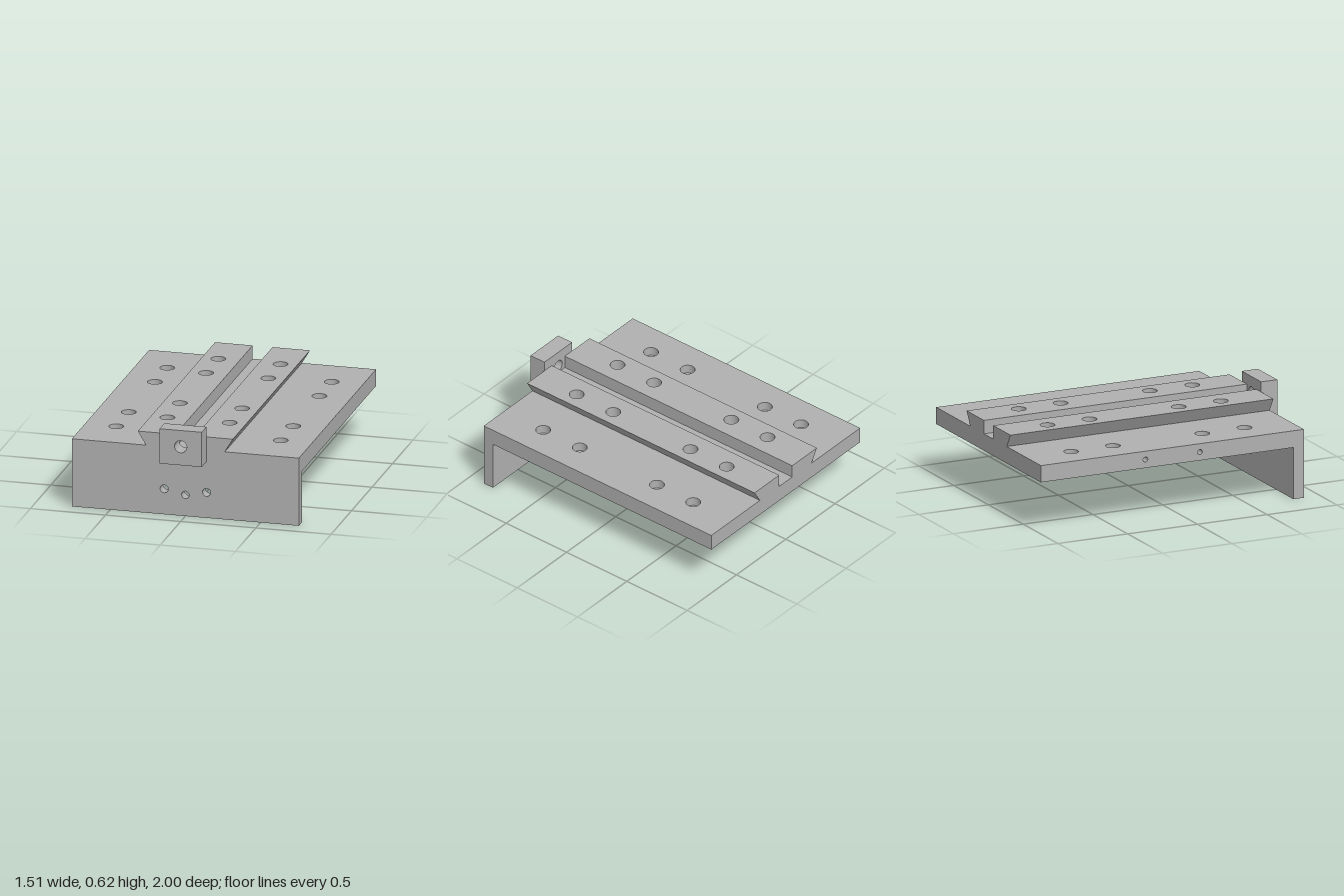
import * as THREE from 'three';
import { toCreasedNormals } from 'three/addons/utils/BufferGeometryUtils.js';

const HALF_W = 0.755, BACK = -1, FRONT = 0.885;
const PLATE_Y = 0.345, SEAT_Y = 0.397, TOP_Y = 0.457, RAIL_Y = 0.547;
const BORE = 0.028, COUNTERBORE = 0.048;
const OUTER_X = 0.547, INNER_X = 0.207, HOLE_Z = [-0.68, -0.38, 0.26, 0.563];
const STRIP = 0.135; // width of the edge strip that holds the blind side holes

// Rectangle with round holes [x, y, radius], extruded along z
function drilled(x0, x1, y0, y1, holes, depth) {
  const shape = new THREE.Shape([[x0, y0], [x1, y0], [x1, y1], [x0, y1]].map(p => new THREE.Vector2(...p)));
  for (const [x, y, r] of holes) {
    const hole = new THREE.Path();
    hole.absarc(x, y, r, 0, Math.PI * 2, true);
    shape.holes.push(hole);
  }
  return new THREE.ExtrudeGeometry(shape, { depth, bevelEnabled: false, curveSegments: 16 });
}

// Horizontal slab between two heights; holes are [x, z, radius]
function slab(x0, x1, y0, y1, holes) {
  const g = drilled(x0, x1, -FRONT, -BACK, holes.map(([x, z, r]) => [x, -z, r]), y1 - y0);
  return g.rotateX(-Math.PI / 2).translate(0, y0, 0);
}

const column = (x, r) => HOLE_Z.map(z => [x, z, r]);

export function createModel() {
  const group = new THREE.Group();
  const steel = new THREE.MeshStandardMaterial({ color: 0xb0b0b0 });
  steel.name = 'grey steel';
  const add = (name, geometry) => {
    const mesh = new THREE.Mesh(toCreasedNormals(geometry, 0.6), steel);
    mesh.name = name;
    group.add(mesh);
  };

  // Base plate in two layers, so the outer holes are counterbored
  const plateHoles = outer => [
    ...column(-OUTER_X, outer), ...column(OUTER_X, outer),
    ...column(-INNER_X, BORE), ...column(INNER_X, BORE),
  ];
  add('plateLower', slab(-HALF_W + STRIP, HALF_W, PLATE_Y, SEAT_Y, plateHoles(BORE)));
  add('plateUpper', slab(-HALF_W + STRIP, HALF_W, SEAT_Y, TOP_Y, plateHoles(COUNTERBORE)));

  // Plate edge with two blind holes
  const sideHoles = [-0.25, 0.14].map(z => [-z, 0.401, 0.017]);
  add('plateEdge', drilled(-FRONT, -BACK, PLATE_Y, TOP_Y, sideHoles, STRIP)
    .rotateY(Math.PI / 2).translate(-HALF_W, 0, 0));

  // Dovetail rails: the outer wall leans in towards the plate
  for (const side of [-1, 1]) {
    const ends = [0.066 * side, 0.316 * side].sort((a, b) => a - b);
    const g = slab(ends[0], ends[1], TOP_Y, RAIL_Y, column(INNER_X * side, COUNTERBORE));
    const pos = g.attributes.position;
    for (let i = 0; i < pos.count; i++) {
      if (Math.abs(pos.getX(i)) > 0.31 && pos.getY(i) < TOP_Y + 0.01) pos.setX(i, 0.262 * side);
    }
    add(side < 0 ? 'rightDovetailRail' : 'leftDovetailRail', g);
  }

  // Front apron hanging below the plate
  add('frontApron', drilled(-HALF_W, HALF_W, 0, PLATE_Y,
    [[-0.141, 0.172, 0.027], [0, 0.143, 0.025], [0.141, 0.172, 0.027]], 0.075).translate(0, 0, FRONT - 0.075));

  // Screw block on the front, its bore in line with the slot
  add('screwBlock', drilled(-0.14, 0.14, 0.38, 0.615, [[0, 0.505, 0.041]], 1 - FRONT).translate(0, 0, FRONT));

  return group;
}
